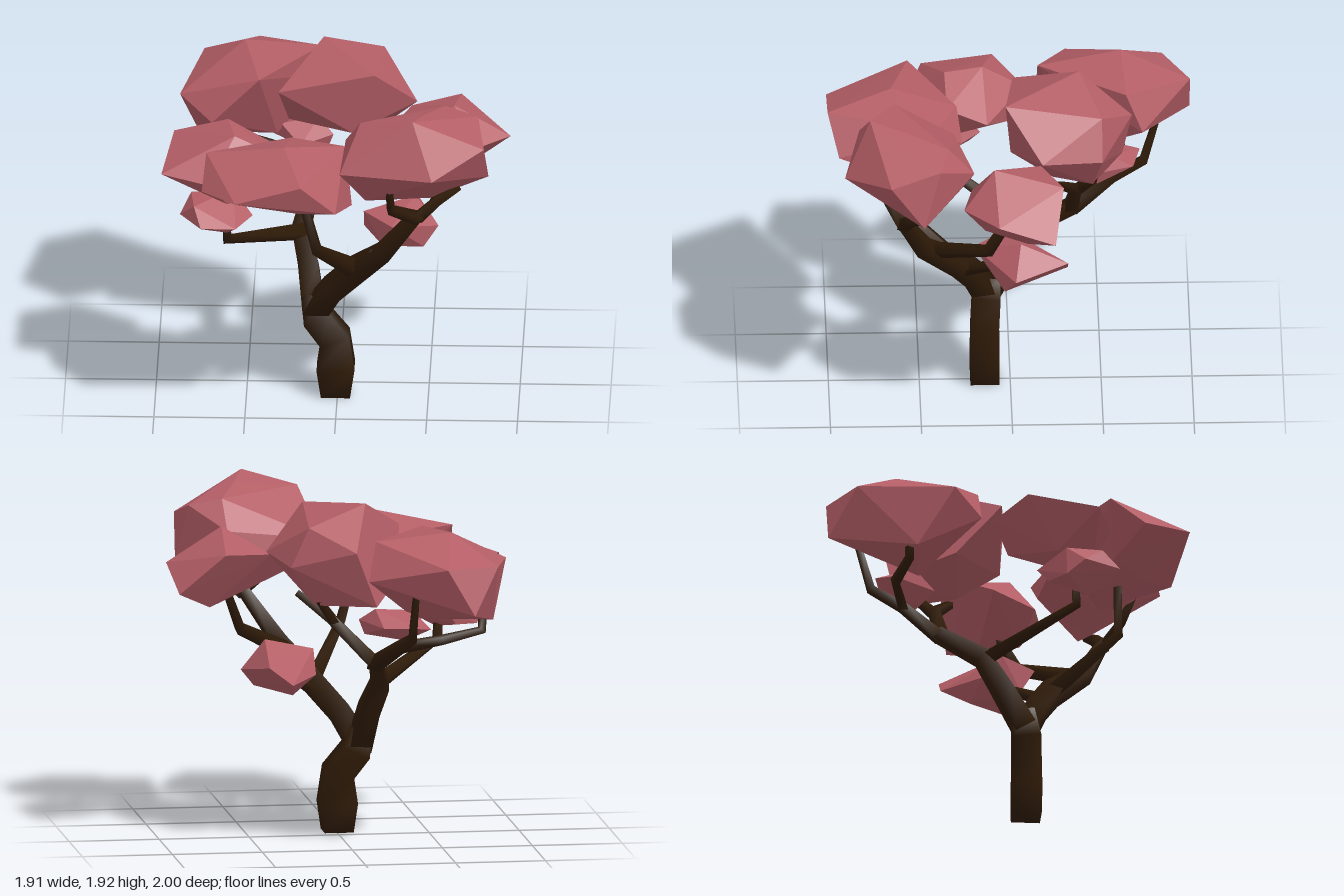
import * as THREE from 'three';
import { ConvexGeometry } from 'three/addons/geometries/ConvexGeometry.js';

const bark = new THREE.MeshStandardMaterial({ color: 0x2f1b08 });
bark.name = 'dark bark';
const leaf = new THREE.MeshStandardMaterial({ color: 0xb45e66, flatShading: true });
leaf.name = 'rose foliage';

// Tapered limb: soft square rings along [x, y, z, half width, half depth] stations, closed at both ends
function limb(stations, sides = 4) {
  const pts = stations.map(s => new THREE.Vector3(s[0], s[1], s[2]));
  const n = pts.length, pos = [], idx = [];
  let prev = new THREE.Vector3(0, 1, 0);
  const u = new THREE.Vector3(1, 0, 0), w = new THREE.Vector3(0, 0, 1);
  const q = new THREE.Quaternion();
  pts.forEach((p, i) => {
    const t = new THREE.Vector3();
    if (i > 0) t.add(p.clone().sub(pts[i - 1]).normalize());
    if (i < n - 1) t.add(pts[i + 1].clone().sub(p).normalize());
    t.normalize();
    q.setFromUnitVectors(prev, t);
    u.applyQuaternion(q);
    w.applyQuaternion(q);
    prev = t;
    const [, , , rx, rz = rx] = stations[i];
    for (let k = 0; k < sides; k++) {
      const a = ((k + 0.5) / sides) * Math.PI * 2;
      const v = p.clone().addScaledVector(u, Math.cos(a) * rx * Math.SQRT2)
        .addScaledVector(w, Math.sin(a) * rz * Math.SQRT2);
      pos.push(v.x, v.y, v.z);
    }
  });
  for (let i = 0; i < n - 1; i++) {
    for (let k = 0; k < sides; k++) {
      const a = i * sides + k, b = i * sides + (k + 1) % sides;
      idx.push(a, a + sides, b, b, a + sides, b + sides);
    }
  }
  const last = (n - 1) * sides;
  for (let k = 1; k < sides - 1; k++) {
    idx.push(0, k, k + 1, last, last + k + 1, last + k);
  }
  const g = new THREE.BufferGeometry();
  g.setAttribute('position', new THREE.Float32BufferAttribute(pos, 3));
  g.setIndex(idx);
  g.computeVertexNormals();
  return g;
}

const limbs = {
  trunk: [[-0.01, 0, 0.14, 0.08], [-0.01, 0.16, 0.14, 0.104, 0.08], [-0.015, 0.33, 0.14, 0.084, 0.078],
    [-0.11, 0.45, 0.13, 0.078], [-0.135, 0.58, 0.11, 0.062]],
  // Front fork
  frontBough: [[-0.13, 0.48, 0.13, 0.064], [-0.03, 0.65, 0.2, 0.058], [0.1, 0.8, 0.28, 0.058],
    [0.26, 1.0, 0.48, 0.044], [0.45, 1.28, 0.6, 0.03]],
  frontOuterBranch: [[0.45, 1.26, 0.6, 0.03], [0.56, 1.35, 0.56, 0.025], [0.68, 1.42, 0.52, 0.018]],
  frontInnerBranch: [[0.46, 1.26, 0.6, 0.03], [0.31, 1.35, 0.69, 0.023], [0.3, 1.52, 0.76, 0.018]],
  frontCrossBranch: [[0.1, 0.82, 0.3, 0.04], [-0.1, 1.08, 0.64, 0.025], [-0.17, 1.34, 0.63, 0.021]],
  leftSideBranch: [[0.2, 0.95, 0.44, 0.036], [0.53, 1.14, 0.13, 0.027], [0.64, 1.42, 0.01, 0.021]],
  lowTwig: [[0.1, 0.76, 0.26, 0.026], [0.3, 0.92, 0.02, 0.018]],
  // Back fork
  backBough: [[-0.13, 0.48, 0.12, 0.062], [-0.165, 0.7, -0.01, 0.055], [-0.21, 0.86, -0.12, 0.048],
    [-0.15, 1.02, -0.36, 0.037]],
  rightSideBranch: [[-0.2, 0.86, -0.1, 0.037], [-0.6, 1.02, 0.37, 0.025], [-0.61, 1.28, 0.36, 0.02]],
  backUprightBranch: [[-0.16, 1.0, -0.34, 0.036], [0.1, 1.27, -0.36, 0.028], [0.27, 1.4, -0.26, 0.018]],
  backUprightTwig: [[0.08, 1.25, -0.36, 0.025], [0.18, 1.39, -0.46, 0.018]],
  backOuterBranch: [[-0.14, 1.0, -0.34, 0.036], [-0.25, 1.13, -0.56, 0.028], [-0.3, 1.21, -0.74, 0.024],
    [-0.31, 1.46, -0.81, 0.018]],
  backSideBranch: [[-0.25, 1.13, -0.56, 0.026], [-0.48, 1.18, -0.62, 0.022], [-0.71, 1.22, -0.56, 0.02],
    [-0.72, 1.38, -0.56, 0.018]],
};

// Faceted leaf clumps, each the hull of a few corner points
const clumps = {
  backRightFoliage: [[-0.46, 1.63, -1], [-0.61, 1.37, -1], [-0.76, 1.62, -0.85], [-0.88, 1.58, -0.32],
    [-0.7, 1.48, -0.16], [-0.44, 1.74, -0.16], [-0.11, 1.74, -0.64], [-0.06, 1.53, -0.73],
    [-0.53, 1.78, -0.62], [-0.78, 1.27, -0.52], [-0.35, 1.28, -0.48]],
  backFoliage: [[-0.09, 1.91, -0.38], [0.2, 1.86, 0.03], [-0.33, 1.73, -0.02], [0, 1.68, -0.67],
    [0.24, 1.8, -0.5], [0.34, 1.58, -0.5], [0.43, 1.62, -0.17], [-0.28, 1.46, -0.27],
    [-0.12, 1.37, -0.62], [0.2, 1.36, -0.45], [0.15, 1.38, -0.23], [0.08, 1.5, 0]],
  leftFoliage: [[0.67, 1.62, -0.28], [0.92, 1.4, -0.23], [0.95, 1.53, 0.08], [0.75, 1.53, 0.27],
    [0.64, 1.72, 0.1], [0.73, 1.3, -0.08], [0.4, 1.45, 0.22], [0.27, 1.5, -0.02],
    [0.4, 1.6, -0.16], [0.6, 1.31, 0.15]],
  frontLeftFoliage: [[0.43, 1.92, 0.78], [0.14, 1.85, 0.64], [0.5, 1.88, 0.58], [0.6, 1.83, 0.35],
    [0.78, 1.79, 0.4], [0.82, 1.71, 0.67], [0.84, 1.47, 0.49], [0.54, 1.62, 0.92], [0.03, 1.62, 0.83],
    [0.05, 1.6, 0.31], [0.59, 1.67, 0.21], [0.37, 1.5, 0.23], [0.17, 1.4, 0.68], [0.52, 1.35, 0.52]],
  frontRightFoliage: [[-0.28, 1.7, 0.65], [-0.18, 1.61, 1], [-0.54, 1.51, 1], [-0.73, 1.47, 0.74],
    [-0.71, 1.62, 0.55], [0.01, 1.43, 0.94], [0.05, 1.61, 0.42], [-0.08, 1.46, 0.26],
    [-0.54, 1.33, 0.58], [0.09, 1.31, 0.54], [-0.25, 1.6, 0.29], [-0.3, 1.32, 0.4], [-0.2, 1.36, 0.78]],
  rightFoliage: [[-0.6, 1.64, 0.14], [-0.56, 1.63, 0.35], [-0.62, 1.5, -0.09], [-0.9, 1.54, 0.08],
    [-0.96, 1.45, 0.47], [-0.7, 1.42, 0.55], [-0.34, 1.52, 0.34], [-0.29, 1.45, 0.12],
    [-0.78, 1.26, 0.25], [-0.47, 1.28, 0.32], [-0.6, 1.27, 0.46], [-0.5, 1.35, 0]],
  smallRightFoliage: [[-0.86, 1.18, 0.4], [-0.78, 1.27, 0.5], [-0.57, 1.28, 0.28], [-0.46, 1.16, 0.36],
    [-0.6, 1.08, 0.42], [-0.81, 1.11, 0.3], [-0.62, 1.21, 0.15], [-0.74, 1.18, 0.6],
    [-0.55, 1.15, 0.53], [-0.68, 1.12, 0.21], [-0.8, 1.27, 0.3]],
  smallLeftFoliage: [[0.14, 1.04, 0.02], [0.42, 1.11, -0.05], [0.55, 0.94, -0.02], [0.47, 0.84, 0.04],
    [0.28, 0.81, -0.15], [0.14, 0.91, -0.08], [0.3, 1.03, 0.21], [0.25, 0.88, 0.13],
    [0.43, 0.99, -0.31], [0.3, 0.89, -0.31]],
  smallBackFoliage: [[-0.42, 1.24, -0.62], [-0.33, 1.33, -0.5], [-0.12, 1.35, -0.55], [-0.04, 1.28, -0.47],
    [-0.07, 1.2, -0.48], [-0.28, 1.18, -0.61], [-0.22, 1.25, -0.38], [-0.34, 1.26, -0.72],
    [-0.16, 1.19, -0.46], [-0.15, 1.26, -0.68]],
};

export function createModel() {
  const tree = new THREE.Group();
  tree.name = 'tree';
  const add = (name, geometry, material) => {
    const mesh = new THREE.Mesh(geometry, material);
    mesh.name = name;
    tree.add(mesh);
  };
  for (const [name, stations] of Object.entries(limbs)) add(name, limb(stations), bark);
  for (const [name, corners] of Object.entries(clumps)) {
    add(name, new ConvexGeometry(corners.map(c => new THREE.Vector3(...c))), leaf);
  }
  return tree;
}
